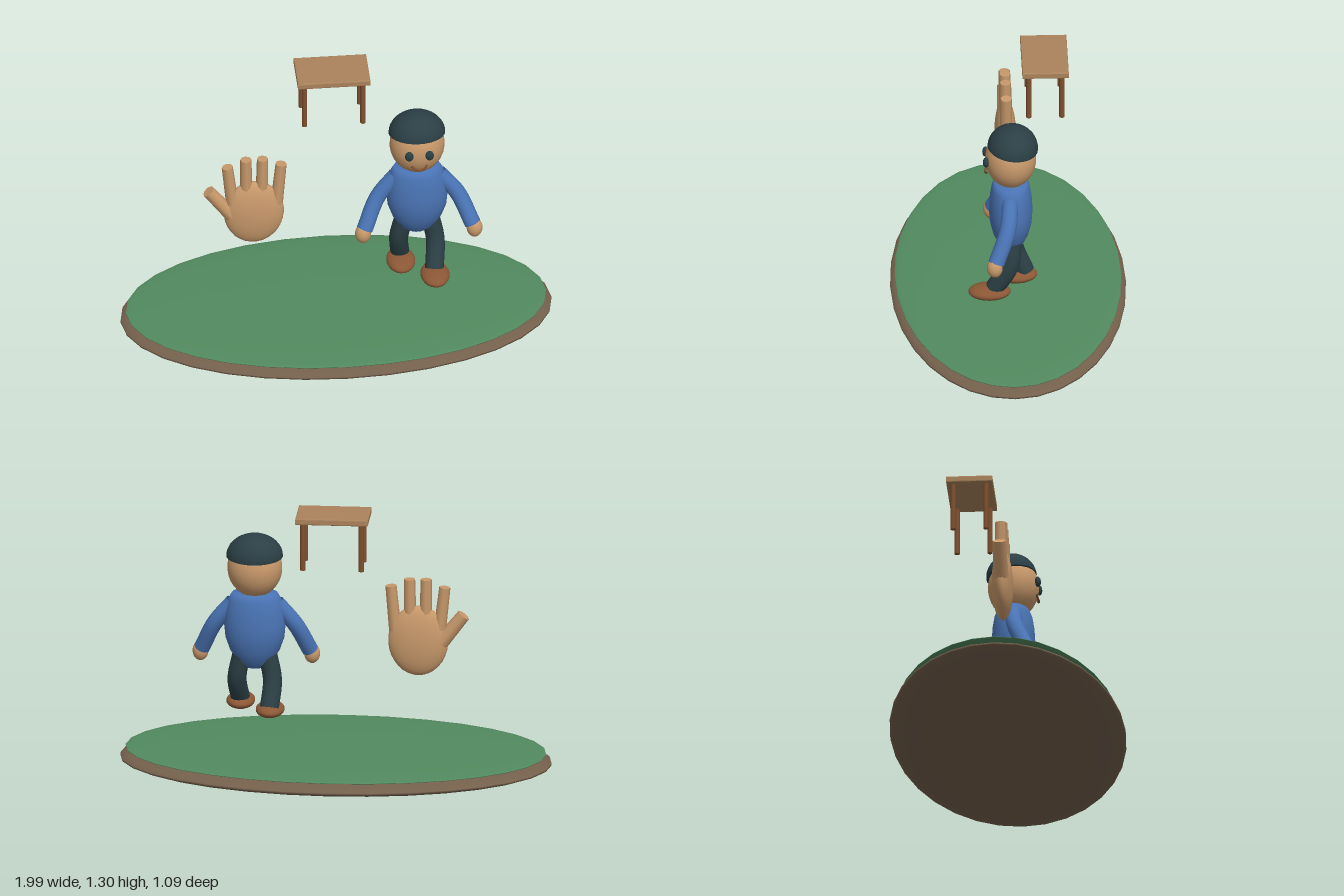
import * as THREE from 'three';

const mat = (color, side = THREE.FrontSide) => new THREE.MeshStandardMaterial({ color, side });
const skin = mat(0xc8996b);
const blue = mat(0x4a74b5, THREE.DoubleSide);
const dark = mat(0x2b3f45, THREE.DoubleSide);
const wood = mat(0xab835c);
const darkWood = mat(0x80502f);
const leather = mat(0x8c5836);
const grass = mat(0x528a5f);
const soil = mat(0x74604c);
const v = (p) => new THREE.Vector3(...p);

function add(parent, name, geometry, material, pos = [0, 0, 0]) {
  const mesh = new THREE.Mesh(geometry, material);
  mesh.name = name;
  mesh.position.set(...pos);
  parent.add(mesh);
  return mesh;
}

function ellipsoid(parent, name, material, pos, radii, seg = 28) {
  const geo = new THREE.SphereGeometry(1, seg, Math.round(seg * 0.6)).scale(...radii);
  return add(parent, name, geo, material, pos);
}

// Straight rod between two points, optionally tapered
function rod(parent, name, material, from, to, r0, r1, sides) {
  const a = v(from), b = v(to), dir = b.clone().sub(a);
  const geo = new THREE.CylinderGeometry(r1, r0, dir.length(), sides);
  const mesh = add(parent, name, geo, material, a.clone().add(b).multiplyScalar(0.5).toArray());
  mesh.quaternion.setFromUnitVectors(new THREE.Vector3(0, 1, 0), dir.normalize());
  return mesh;
}

function tube(parent, name, material, points, radius) {
  const curve = new THREE.CatmullRomCurve3(points.map(v));
  return add(parent, name, new THREE.TubeGeometry(curve, 16, radius, 14), material);
}

function group(parent, name, x = 0, y = 0, z = 0) {
  const g = new THREE.Group();
  g.name = name;
  g.position.set(x, y, z);
  parent.add(g);
  return g;
}

function buildGround(root) {
  const ground = group(root, 'ground');
  ellipsoid(ground, 'soil', soil, [0, 0.06, 0], [1, 0.057, 0.545], 32);
  ellipsoid(ground, 'grass', grass, [0, 0.105, 0], [0.975, 0.017, 0.523], 32);
}

function buildTable(root) {
  const table = group(root, 'table', -0.002, 0, -0.168);

  // Table top with softly rounded edges
  const b = 0.005, w = 0.336, d = 0.214;
  const shape = new THREE.Shape();
  shape.moveTo(-w / 2 + b, -d / 2 + b);
  shape.lineTo(w / 2 - b, -d / 2 + b);
  shape.lineTo(w / 2 - b, d / 2 - b);
  shape.lineTo(-w / 2 + b, d / 2 - b);
  const top = new THREE.ExtrudeGeometry(shape, {
    depth: 0.02, bevelEnabled: true, bevelSize: b, bevelThickness: b, bevelSegments: 2,
  });
  top.rotateX(-Math.PI / 2);
  add(table, 'tableTop', top, wood, [0, 1.277, 0]);

  for (const x of [-0.135, 0.135]) {
    for (const z of [-0.076, 0.076]) {
      rod(table, 'tableLeg', darkWood, [x, 1.046, z], [x, 1.276, z], 0.0125, 0.0125, 10);
    }
  }
}

function buildHand(root) {
  const hand = group(root, 'openHand', -0.38, 0, 0);
  ellipsoid(hand, 'palm', skin, [0, 0.643, 0], [0.139, 0.168, 0.05]);
  const fingers = [
    [[-0.1, 0.7, 0], [-0.123, 0.902, 0]],
    [[-0.035, 0.74, 0], [-0.037, 0.938, 0]],
    [[0.037, 0.74, 0], [0.04, 0.938, 0]],
    [[0.106, 0.69, 0], [0.126, 0.905, 0]],
  ];
  for (const [from, to] of fingers) rod(hand, 'finger', skin, from, to, 0.029, 0.026, 8);
  rod(hand, 'thumb', skin, [-0.105, 0.635, 0], [-0.21, 0.77, 0], 0.036, 0.031, 8);
}

function buildPerson(root) {
  const person = group(root, 'person', 0.375, 0, 0);

  // Torso: flattened turned profile
  const profile = [
    [0, 0.487], [0.04, 0.495], [0.08, 0.525], [0.115, 0.58], [0.136, 0.64], [0.142, 0.7],
    [0.136, 0.77], [0.123, 0.825], [0.105, 0.855], [0, 0.86],
  ].map(([r, y]) => new THREE.Vector2(r, y));
  add(person, 'torso', new THREE.LatheGeometry(profile, 28).scale(1, 1, 0.71), blue);

  // Head, cap and face
  ellipsoid(person, 'head', skin, [0, 0.977, 0], [0.127, 0.14, 0.118]);
  const dome = new THREE.SphereGeometry(1, 28, 10, 0, Math.PI * 2, 0, Math.PI / 2);
  const cap = group(person, 'cap', 0, 1.035, -0.009);
  cap.rotation.x = -0.1;
  add(cap, 'capDome', dome.scale(0.131, 0.104, 0.117), dark);
  const rim = new THREE.CircleGeometry(1, 28).rotateX(Math.PI / 2).scale(0.131, 1, 0.117);
  add(cap, 'capUnderside', rim, dark);
  for (const s of [-1, 1]) {
    ellipsoid(person, 'eye', dark, [s * 0.047, 0.985, 0.115], [0.02, 0.025, 0.015], 14);
  }
  tube(person, 'smile', darkWood,
    [[-0.037, 0.928, 0.109], [-0.02, 0.912, 0.114], [0, 0.907, 0.118], [0.02, 0.912, 0.114], [0.037, 0.928, 0.109]],
    0.005);

  // Arms are mirrored; the legs stride with the left one forward
  for (const s of [-1, 1]) {
    const side = s > 0 ? 'left' : 'right';
    tube(person, side + 'Arm', blue,
      [[s * 0.1, 0.805, 0.005], [s * 0.185, 0.7, 0.02], [s * 0.25, 0.56, 0.075]], 0.038);
    ellipsoid(person, side + 'Hand', skin, [s * 0.258, 0.542, 0.082], [0.037, 0.047, 0.037], 18);

    const footZ = s > 0 ? 0.1 : -0.027;
    const ankleZ = s > 0 ? 0.077 : -0.068;
    tube(person, side + 'Leg', dark,
      [[s * 0.06, 0.56, -0.005], [s * 0.083, 0.44, s * 0.015 - 0.005], [s * 0.073, 0.32, ankleZ]], 0.044);
    ellipsoid(person, side + 'Shoe', leather, [s * 0.073, 0.302, footZ], [0.067, 0.033, 0.098], 22);
  }
}

export function createModel() {
  const root = new THREE.Group();
  root.name = 'scenePieces';
  buildGround(root);
  buildTable(root);
  buildHand(root);
  buildPerson(root);
  return root;
}
